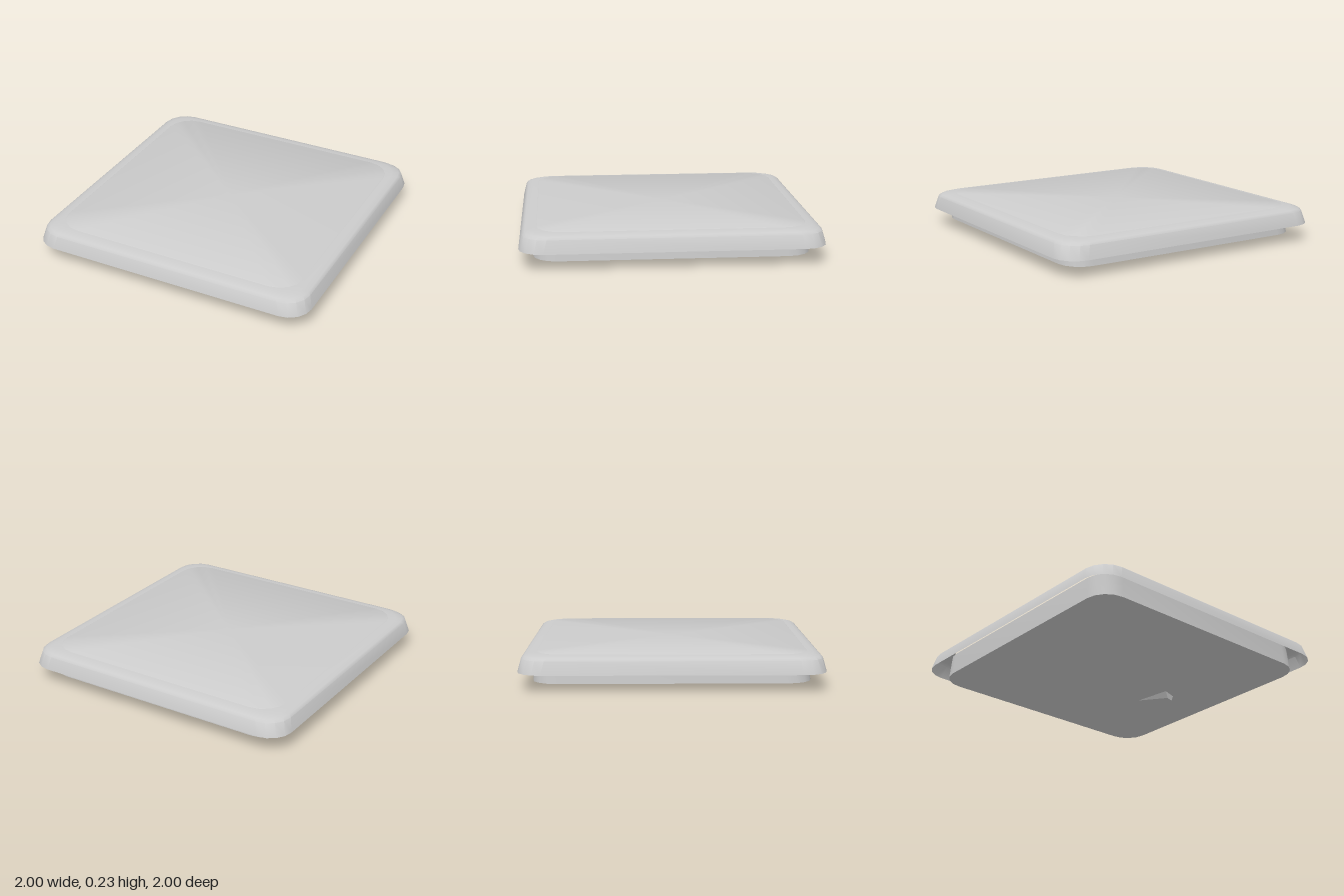
import * as THREE from 'three';
import { toCreasedNormals } from 'three/addons/utils/BufferGeometryUtils.js';

const CORNER_STEPS = 4;

// Skin through rounded-square rings [halfWidth, cornerRadius, y], listed bottom to top
function loft(rings) {
  const pos = [], index = [];
  const n = 4 * (CORNER_STEPS + 1);
  for (const [half, r, y] of rings) {
    for (let c = 0; c < 4; c++) {
      const mid = (c + 0.5) * Math.PI / 2;
      const cx = Math.sign(Math.cos(mid)) * (half - r);
      const cz = Math.sign(Math.sin(mid)) * (half - r);
      for (let s = 0; s <= CORNER_STEPS; s++) {
        const a = (c + s / CORNER_STEPS) * Math.PI / 2;
        pos.push(cx + r * Math.cos(a), y, cz + r * Math.sin(a));
      }
    }
  }
  for (let i = 0; i < rings.length - 1; i++) {
    for (let j = 0; j < n; j++) {
      const k = (j + 1) % n;
      const a = i * n + j, b = i * n + k, c = b + n, d = a + n;
      index.push(a, d, c, a, c, b);
    }
  }
  const g = new THREE.BufferGeometry();
  g.setAttribute('position', new THREE.Float32BufferAttribute(pos, 3));
  g.setIndex(index);
  return toCreasedNormals(g, 0.7);
}

export function createModel() {
  const group = new THREE.Group();
  const add = (name, geometry, options = {}) => {
    const mesh = new THREE.Mesh(geometry, new THREE.MeshStandardMaterial({ color: 0xcccccc, ...options }));
    mesh.name = name;
    group.add(mesh);
    return mesh;
  };

  // Hollow cover, open below, with a softly rounded shoulder
  add('coverShell', loft([
    [1.0, 0.16, 0.115],
    [0.977, 0.16, 0.203],
    [0.96, 0.16, 0.217],
    [0.925, 0.16, 0.228],
    [0.885, 0.17, 0.232],
  ]), { side: THREE.DoubleSide });

  // Flat panel on top
  add('topPanel', loft([
    [0.885, 0.17, 0.232],
    [0.88, 0.17, 0.235],
    [0, 0, 0.235],
  ]));

  // Smaller block that plugs into the cover
  add('innerBlock', loft([
    [0, 0, 0.045],
    [0.907, 0.16, 0.045],
    [0.895, 0.16, 0.2],
    [0, 0, 0.2],
  ]));

  // Six-sided catch half sunk in the underside
  const catchCone = new THREE.ConeGeometry(0.06, 0.3, 6, 1, false, Math.PI / 6);
  catchCone.translate(0, 0.15, 0);
  catchCone.rotateX(-Math.PI / 2);
  catchCone.rotateY(0.33);
  const bottomCatch = add('bottomCatch', catchCone, { flatShading: true });
  bottomCatch.position.set(0.5, 0.052, 0);

  return group;
}
